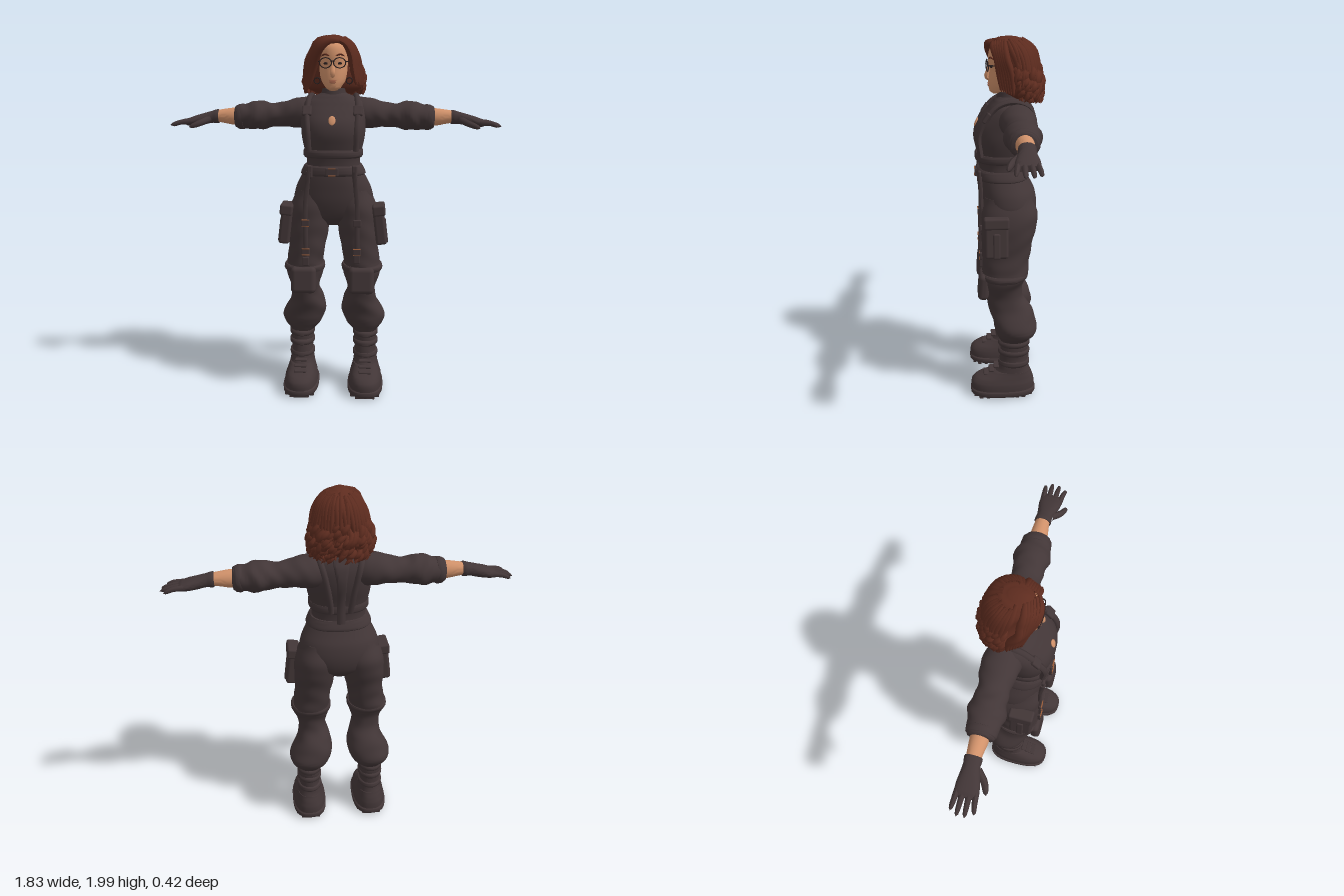
import * as THREE from 'three';
import { toCreasedNormals } from 'three/addons/utils/BufferGeometryUtils.js';
import { RoundedBoxGeometry } from 'three/addons/geometries/RoundedBoxGeometry.js';

const material = (name, color) => Object.assign(new THREE.MeshStandardMaterial({ color }), { name });
const V = (x, y, z) => new THREE.Vector3(x, y, z);
let seed = 7;
const rand = () => (seed = (seed * 16807) % 2147483647) / 2147483647;

// smooth interpolation through rows of numbers, u = 0..rows-1
function sample(rows, u) {
  const i = Math.min(Math.floor(u), rows.length - 2), t = u - i;
  const [a, b, c, d] = [-1, 0, 1, 2].map(k => rows[Math.max(0, Math.min(rows.length - 1, i + k))]);
  return b.map((_, k) => k === 0 ? b[0] + (c[0] - b[0]) * t
    : b[k] + 0.5 * t * (c[k] - a[k] + t * (2 * a[k] - 5 * b[k] + 4 * c[k] - d[k] + t * (3 * (b[k] - c[k]) + d[k] - a[k]))));
}

// skin over cross-sections. Axis y: [y, xMin, xMax, zMin, zMax]; axis x: [x, yMin, yMax, zMin, zMax]
function loft(axis, rows, { n = 28, p = 2, fold = 0, freq = 60, sub = 4 } = {}) {
  const pos = [], idx = [], steps = (rows.length - 1) * sub;
  const put = (s, a, b) => axis === 'y' ? pos.push(a, s, b) : pos.push(s, a, b);
  for (let i = 0; i <= steps; i++) {
    const [s, a0, a1, b0, b1] = sample(rows, i / sub);
    const fade = Math.sin(Math.PI * i / steps);
    for (let j = 0; j < n; j++) {
      const g = j / n * Math.PI * 2;
      const pw = v => Math.sign(v) * Math.abs(v) ** (2 / p);
      const c = pw(Math.cos(g)), d = pw(Math.sin(g));
      const k = 1 + fold * fade * (Math.sin(s * freq + 2.2 * Math.sin(g * 2 + 1)) + 0.5 * Math.sin(s * freq * 0.6 - 3 * g));
      const [ca, cb] = axis === 'y' ? [c, d] : [d, c];
      put(s, (a0 + a1) / 2 + (a1 - a0) / 2 * ca * k, (b0 + b1) / 2 + (b1 - b0) / 2 * cb * k);
    }
  }
  for (let i = 0; i < steps; i++) for (let j = 0; j < n; j++) {
    const a = i * n + j, b = i * n + (j + 1) % n;
    idx.push(a, a + n, b, b, a + n, b + n);
  }
  for (const [r, end] of [[rows[0], 0], [rows[rows.length - 1], steps]]) {
    const c = pos.length / 3;
    put(r[0], (r[1] + r[2]) / 2, (r[3] + r[4]) / 2);
    for (let j = 0; j < n; j++) {
      const a = end * n + j, b = end * n + (j + 1) % n;
      end ? idx.push(c, b, a) : idx.push(c, a, b);
    }
  }
  const geo = new THREE.BufferGeometry();
  geo.setAttribute('position', new THREE.Float32BufferAttribute(pos, 3));
  geo.setIndex(idx);
  return toCreasedNormals(geo, 0.9);
}

// tube whose thickness follows a profile, closed at both ends
function strand(points, r, profile = t => Math.sqrt(Math.sin(Math.PI * Math.min(0.999, 0.12 + 0.88 * t))), seg = 14, sides = 7) {
  const curve = new THREE.CatmullRomCurve3(points), geo = new THREE.TubeGeometry(curve, seg, r, sides);
  const pos = geo.attributes.position, v = V(0, 0, 0);
  for (let i = 0; i < pos.count; i++) {
    const t = Math.floor(i / (sides + 1)) / seg, c = curve.getPointAt(t);
    v.fromBufferAttribute(pos, i).sub(c).multiplyScalar(profile(t)).add(c);
    pos.setXYZ(i, v.x, v.y, v.z);
  }
  geo.computeVertexNormals();
  return geo;
}

function mirrored(source) {
  const geo = source.index ? source.toNonIndexed() : source.clone();
  geo.scale(-1, 1, 1);
  for (const { array, itemSize: s } of Object.values(geo.attributes))
    for (let t = 0; t < array.length; t += 3 * s) for (let k = 0; k < s; k++)
      [array[t + s + k], array[t + 2 * s + k]] = [array[t + 2 * s + k], array[t + s + k]];
  return geo;
}
const box = (w, h, d, x, y, z, r = 0.008) => new RoundedBoxGeometry(w, h, d, 2, r).translate(x, y, z);
const blob = (w, h, d, x, y, z) => new THREE.SphereGeometry(1, 16, 12).scale(w, h, d).translate(x, y, z);

export function createModel() {
  const model = new THREE.Group();
  model.name = 'figure';
  const cloth = material('dark cloth', 0x423637), skin = material('skin', 0xd0916a), hairMat = material('auburn hair', 0x5e2c1f);
  const dark = material('dark frames', 0x2a2020), lip = material('lips', 0xa9674e), copper = material('copper trim', 0x9a5c38);
  const add = (name, geo, mat) => {
    const mesh = new THREE.Mesh(geo, mat);
    mesh.name = name;
    model.add(mesh);
  };
  const pair = (name, geo, mat) => { add('left ' + name, geo, mat); add('right ' + name, mirrored(geo), mat); };
  const sym = rows => rows.map(([y, w, b, f]) => [y, -w, w, b, f]);

  // torso, hips and collar
  add('jacket', loft('y', sym([[1.27, .15, -.1, .145], [1.34, .145, -.1, .148], [1.42, .163, -.115, .165], [1.48, .173, -.132, .176],
    [1.54, .175, -.142, .164], [1.6, .176, -.142, .122], [1.645, .16, -.13, .085], [1.675, .105, -.11, .06], [1.69, .07, -.09, .045]]), { n: 40, p: 2.3 }), cloth);
  add('hips', loft('y', sym([[.97, .07, -.1, .06], [1.02, .18, -.15, .115], [1.1, .22, -.166, .14], [1.18, .207, -.155, .148],
    [1.24, .178, -.125, .15], [1.3, .15, -.1, .145]]), { n: 40, p: 2.2 }), cloth);
  add('collar', loft('y', sym([[1.66, .078, -.095, .055], [1.69, .067, -.08, .05], [1.715, .062, -.072, .046]])), cloth);
  add('jacket hem', loft('y', sym([[1.35, .155, -.108, .162], [1.36, .162, -.112, .17], [1.385, .162, -.112, .17], [1.395, .158, -.11, .164]]), { n: 40, p: 2.4 }), cloth);
  add('belt', loft('y', sym([[1.255, .172, -.12, .158], [1.262, .178, -.124, .164], [1.3, .162, -.112, .164], [1.308, .156, -.108, .158]]), { n: 40, p: 2.3 }), cloth);
  add('belt buckle', box(.07, .045, .014, 0, 1.28, .165), cloth);
  for (const y of [1.262, 1.3]) add('buckle trim', box(.04, .004, .006, 0, y, .172, .001), copper);
  add('neckline opening', blob(.019, .026, .006, 0, 0, 0).rotateX(-.4).translate(0, 1.552, .16), skin);
  add('back strap', loft('y', [[1.3, -.022, .022, -.125, -.09], [1.42, -.022, .022, -.13, -.1], [1.54, -.026, .026, -.156, -.12],
    [1.62, -.04, .04, -.148, -.1], [1.67, -.05, .05, -.12, -.08]], { p: 4 }), cloth);

  // shoulder straps with buckles
  pair('harness strap', strand([V(.125, 1.39, .14), V(.13, 1.5, .15), V(.135, 1.58, .115), V(.13, 1.655, .05), V(.12, 1.675, -.04),
    V(.1, 1.63, -.125), V(.07, 1.5, -.13), V(.05, 1.36, -.105)], .016, () => 1, 28), cloth);
  pair('strap buckle', box(.05, .06, .022, 0, 0, 0).rotateX(-.6).translate(.135, 1.6, .108), cloth);
  pair('belt loop', box(.03, .07, .018, .12, 1.28, .148), cloth);

  // trouser legs
  pair('trouser leg', loft('y', [[.325, .125, .24, -.11, .04], [.35, .105, .255, -.125, .05], [.38, .075, .282, -.152, .062], [.42, .055, .294, -.163, .075],
    [.48, .045, .272, -.15, .09], [.54, .058, .243, -.125, .108], [.6, .078, .234, -.085, .12], [.66, .07, .248, -.078, .13],
    [.72, .055, .268, -.1, .132], [.77, .058, .258, -.115, .138], [.84, .046, .25, -.12, .14], [.92, .032, .25, -.135, .142],
    [1, .018, .25, -.155, .142], [1.08, .015, .238, -.163, .142], [1.17, .03, .2, -.13, .12]], { n: 36, p: 2.2, fold: .022, freq: 55, sub: 5 }), cloth);
  pair('knee pad', box(.14, .15, .06, 0, 0, 0, .026).rotateX(-.08).translate(.16, .675, .133), cloth);
  pair('knee pad strap', loft('y', [[.715, .05, .27, -.1, .138], [.725, .047, .276, -.108, .144], [.742, .047, .274, -.112, .146], [.75, .052, .268, -.11, .14]], { p: 2.2 }), cloth);

  // cargo pockets with flaps
  const tilt = (geo, x, y, z) => geo.rotateZ(.12).translate(x, y, z);
  pair('cargo pocket', tilt(box(.06, .2, .125, 0, 0, 0, .015), .258, .975, .065), cloth);
  pair('pocket flap', tilt(box(.07, .06, .135, 0, 0, 0, .012), .252, 1.065, .065), cloth);
  pair('pocket pleat', tilt(box(.068, .14, .04, 0, 0, 0, .01), .264, .945, .065), cloth);

  // hanging straps from the belt
  for (const [side, x, low] of [['right', -.145, .775], ['left', .135, .79]]) {
    const w = .013;
    add(side + ' hanging strap', loft('y', [[low, x - w, x + w, .13, .15], [.9, x - w, x + w, .137, .153], [1.1, x - w, x + w, .13, .15],
      [1.2, x * .93 - w, x * .93 + w, .13, .152], [1.28, x * .88 - w, x * .88 + w, .135, .162]], { p: 4, n: 16 }), cloth);
    for (const y of [1.0, .84]) {
      add(side + ' strap clip', box(.045, .04, .018, x, y, .146, .006), cloth);
      if (side === 'right' || y < 1) for (const s of [-1, 1]) add('clip trim', box(.042, .004, .006, x, y + s * .017, .154, .001), copper);
    }
    add(side + ' strap end', box(.036, .05, .022, x, low + .01, .145, .006), cloth);
  }

  // boots
  pair('boot shaft', loft('y', [[.08, .105, .265, -.135, .1], [.13, .11, .258, -.13, .085], [.17, .118, .25, -.118, .058], [.23, .122, .244, -.11, .046],
    [.3, .118, .248, -.116, .042], [.345, .122, .243, -.112, .04]], { p: 2.2, fold: .02, freq: 70 }), cloth);
  pair('boot foot', loft('y', [[.02, .092, .278, -.148, .205], [.05, .09, .28, -.15, .212], [.085, .095, .276, -.148, .208], [.108, .102, .268, -.142, .185],
    [.125, .108, .262, -.136, .14], [.15, .115, .254, -.126, .085]], { p: 2.5 }), cloth);
  pair('boot sole', loft('y', [[.012, .088, .282, -.15, .208], [.018, .084, .286, -.155, .214], [.04, .084, .286, -.155, .215], [.046, .09, .28, -.15, .21]], { p: 2.7 }), cloth);
  for (const y of [.2, .27, .325]) pair('boot band', loft('y', [[y - .016, .118, .25, -.118, .048], [y - .01, .112, .255, -.123, .056],
    [y + .01, .112, .255, -.123, .054], [y + .016, .118, .25, -.118, .046]], { sub: 2 }), cloth);
  for (const z of [-.125, -.085, -.05, .035, .075, .115, .155, .185]) {
    const w = z > .17 || z < -.12 ? .11 : .165;
    pair('sole lug', box(w, .022, .022, .185, .011, z, .004), cloth);
  }
  for (const [y, z] of [[.13, .125], [.15, .095], [.175, .068]]) pair('boot lace', box(.07, .012, .03, .184, y, z, .005), cloth);

  // sleeves, forearms and gloves
  pair('sleeve', loft('x', [[.07, 1.5, 1.65, -.12, .03], [.14, 1.493, 1.667, -.145, .045], [.21, 1.5, 1.66, -.148, .04], [.29, 1.503, 1.637, -.135, .024],
    [.35, 1.5, 1.635, -.135, .025], [.4, 1.488, 1.645, -.148, .035], [.44, 1.487, 1.643, -.148, .036], [.48, 1.492, 1.63, -.135, .025],
    [.52, 1.49, 1.625, -.128, .02], [.545, 1.5, 1.615, -.118, .01], [.55, 1.52, 1.6, -.1, -.01]], { fold: .035, freq: 75, sub: 5 }), cloth);
  pair('sleeve cuff', loft('x', [[.495, 1.5, 1.62, -.125, .012], [.5, 1.488, 1.628, -.132, .022], [.53, 1.49, 1.624, -.13, .02], [.538, 1.5, 1.612, -.12, .01]]), cloth);
  pair('forearm', loft('x', [[.5, 1.51, 1.608, -.1, -.01], [.56, 1.512, 1.606, -.1, -.01], [.62, 1.523, 1.598, -.095, -.018], [.67, 1.53, 1.59, -.09, -.022]]), skin);
  pair('glove', loft('x', [[.64, 1.522, 1.596, -.098, -.014], [.65, 1.52, 1.597, -.1, -.013], [.68, 1.522, 1.588, -.096, -.014], [.72, 1.514, 1.577, -.1, -.004],
    [.77, 1.508, 1.563, -.106, .008], [.81, 1.508, 1.549, -.104, .01], [.825, 1.515, 1.54, -.098, .004]], { p: 2.3 }), cloth);
  const fingerProfile = t => Math.sqrt(Math.max(0, 1 - t ** 8)) * (1 - .3 * t);
  [[-.09, -.1, .895], [-.062, -.066, .915], [-.032, -.028, .912], [-.004, .012, .89]].forEach(([z0, z1, x]) =>
    pair('finger', strand([V(.79, 1.532, z0), V(.85, 1.527, (z0 + z1) / 2), V(x, 1.51, z1)], .0155, fingerProfile, 10, 8), cloth));
  pair('thumb', strand([V(.69, 1.545, -.025), V(.735, 1.525, .018), V(.79, 1.505, .04)], .02, fingerProfile, 10, 8), cloth);

  // head and face
  add('neck', new THREE.CylinderGeometry(.045, .05, .12, 20).translate(0, 1.71, -.015), skin);
  add('head', loft('y', sym([[1.703, .02, .03, .07], [1.715, .038, -.01, .086], [1.75, .062, -.07, .093], [1.79, .075, -.11, .092], [1.83, .08, -.125, .088],
    [1.88, .082, -.13, .094], [1.93, .076, -.11, .085], [1.965, .05, -.07, .05], [1.975, .03, -.05, .03]])), skin);
  add('nose', strand([V(0, 1.85, .083), V(0, 1.815, .094), V(0, 1.79, .1), V(0, 1.778, .088)], .014, t => .35 + .65 * Math.sin(Math.PI * Math.min(1, t * .75 + .02))), skin);
  add('upper lip', blob(.02, .005, .006, 0, 1.756, .091), lip);
  add('lower lip', blob(.017, .006, .006, 0, 1.747, .091), lip);
  pair('ear', blob(.012, .03, .02, .082, 1.82, -.01), skin);
  pair('eye', blob(.014, .007, .006, .035, 1.845, .078), dark);
  pair('eyebrow', strand([V(.014, 1.882, .089), V(.04, 1.892, .082), V(.062, 1.882, .062)], .005), hairMat);

  // glasses and earrings
  pair('glasses rim', new THREE.TorusGeometry(.029, .0028, 6, 28).scale(1.1, .9, 1).rotateY(.15).translate(.037, 1.848, .099), dark);
  pair('glasses arm', strand([V(.068, 1.855, .094), V(.082, 1.855, .06), V(.088, 1.85, 0)], .003, () => 1), dark);
  add('glasses bridge', strand([V(-.009, 1.853, .101), V(0, 1.857, .105), V(.009, 1.853, .101)], .003, () => 1), dark);
  pair('earring', new THREE.TorusGeometry(.016, .003, 6, 20).translate(.086, 1.755, .035), dark);

  // hair volume behind the face
  const hairRows = sym([[1.685, .1, -.15, -.03], [1.715, .15, -.18, .012], [1.77, .158, -.185, .025], [1.84, .138, -.17, .032],
    [1.9, .122, -.16, .042], [1.945, .102, -.138, .062], [1.98, .064, -.095, .055], [1.993, .03, -.055, .03]]);
  add('hair volume', loft('y', hairRows, { n: 40, fold: .015, freq: 40 }), hairMat);
  const hairAt = (y, a, out) => {
    let i = hairRows.findIndex(r => r[0] > y);
    i = i < 0 ? hairRows.length - 1 : Math.max(1, i);
    const p = hairRows[i - 1], q = hairRows[i], t = Math.max(0, (y - p[0]) / (q[0] - p[0]));
    const [, , w, b, f] = p.map((v, k) => v + (q[k] - v) * t);
    return V((w + out) * Math.cos(a), y, (b + f) / 2 + ((f - b) / 2 + out) * Math.sin(a));
  };
  // crown locks, then wavy curls around the sides and back
  for (let i = 0; i < 26; i++) {
    const a = -Math.PI * 1.06 + Math.PI * 1.12 * i / 25;
    add('crown lock', strand([1.985, 1.94, 1.88, 1.8].map((y, k) => hairAt(y - rand() * .015, a + (rand() - .5) * .12, -.006 + k * .002)), .017), hairMat);
  }
  for (let i = 0; i < 84; i++) {
    const a = -Math.PI * 1.1 + Math.PI * 1.2 * ((i * .618) % 1), top = 1.76 + .11 * rand(), back = Math.max(0, -Math.sin(a));
    const end = Math.max(1.66 + (1 - back) * .025, top - .09 - .1 * rand()), ph = rand() * 6.28, pts = [];
    for (let k = 0; k < 6; k++) {
      const y = top + (end - top) * k / 5;
      const p = hairAt(Math.max(y, 1.725), a + .11 * Math.sin(ph + k * 1.7), -.006 + .011 * Math.cos(ph + k * 1.7) + .002 * k);
      pts.push(p.setY(y));
    }
    add('curl', strand(pts, .013 + .006 * rand()), hairMat);
  }
  // swept fringe from the parting
  for (let i = 0; i < 6; i++) {
    const d = i * .012;
    add('right fringe', strand([V(.03 - d, 1.962 + d * .3, .072 - d * .8), V(-.025 - d, 1.958, .093 - d), V(-.07 - d * .6, 1.915, .085 - d),
      V(-.092 - d * .7, 1.86, .06 - d * .6), V(-.112 - d * .6, 1.79, .04 - d), V(-.128 - d * .5, 1.72 - d * .3, .03 - d)], .022), hairMat);
    add('left fringe', strand([V(.025 + d * .4, 1.966 + d * .2, .068 - d), V(.065 + d * .4, 1.945, .07 - d), V(.093 + d * .5, 1.89, .05 - d * .8),
      V(.104 + d * .6, 1.82, .04 - d), V(.122 + d * .6, 1.73 - d * .3, .03 - d)], .019), hairMat);
  }
  return model;
}
